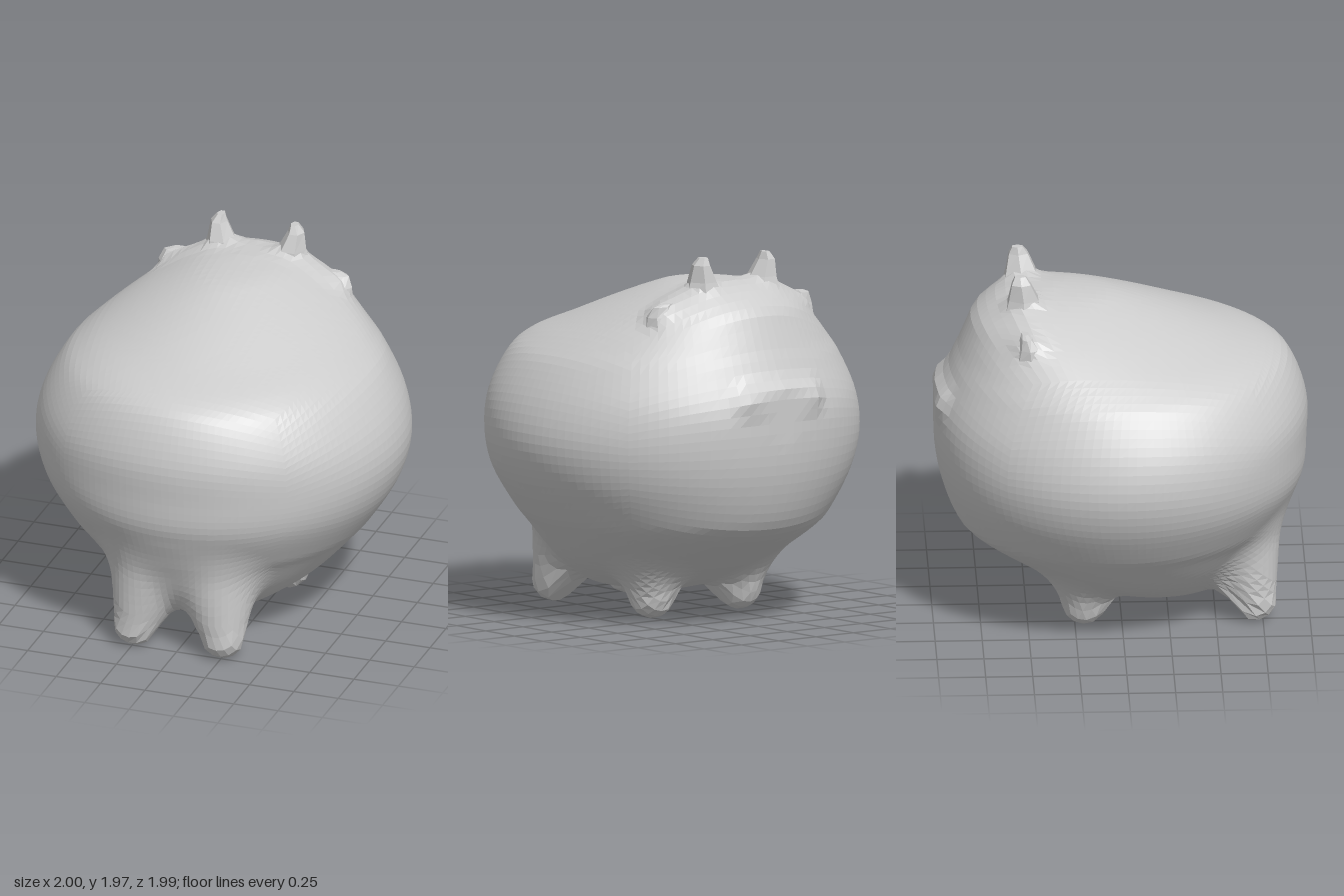
import * as THREE from 'three';
import { mergeVertices } from 'three/addons/utils/BufferGeometryUtils.js';

const material = new THREE.MeshStandardMaterial({ color: 0xcccccc, flatShading: true });

// Trunk cross-sections: [y, widest z, half width, front z, back z]
const trunk = [
  [0.12, 0.22, 0.1, 0.45, 0.02],
  [0.16, 0.2, 0.3, 0.54, -0.15],
  [0.25, 0.1, 0.48, 0.62, -0.38],
  [0.35, 0.04, 0.61, 0.7, -0.57],
  [0.5, 0, 0.75, 0.8, -0.81],
  [0.6, 0, 0.83, 0.87, -0.89],
  [0.8, 0, 0.95, 0.97, -0.96],
  [1.0, 0, 1.0, 0.99, -0.99],
  [1.2, 0, 0.965, 0.99, -0.985],
  [1.4, -0.04, 0.86, 0.92, -0.91],
  [1.5, -0.12, 0.76, 0.82, -0.865],
  [1.6, -0.25, 0.63, 0.56, -0.825],
  [1.7, -0.38, 0.48, 0.3, -0.78],
  [1.78, -0.44, 0.33, 0.07, -0.69],
  [1.82, -0.46, 0.22, -0.08, -0.62],
  [1.845, -0.48, 0.09, -0.34, -0.55],
];
const spline = (a, b, c) => new THREE.CatmullRomCurve3(
  trunk.map(r => new THREE.Vector3(r[a], r[b], r[c])), false, 'catmullrom', 0.5).getPoints(200);
const spine = spline(0, 1, 2), reach = spline(0, 3, 4);

function insideTrunk(p) {
  const i = spine.findIndex(q => q.x > p.y);
  if (i < 1) return false;
  const t = (p.y - spine[i - 1].x) / (spine[i].x - spine[i - 1].x);
  const c = spine[i - 1].clone().lerp(spine[i], t), e = reach[i - 1].clone().lerp(reach[i], t);
  const dz = p.z - c.y, depth = dz > 0 ? e.y - c.y : c.y - e.z;
  return (p.x / c.z) ** 2 + (dz / depth) ** 2 < 1;
}

// Tapered swellings, mirrored across x: tip and root centres with radii;
// join is how far the two sides melt into each other
const swellings = [
  // front leg
  { tip: [0.245, 0.125, 0.705], r0: 0.12, root: [0.14, 0.62, 0.56], r1: 0.31, join: 0.16 },
  // hind leg
  { tip: [0.29, 0.14, -0.2], r0: 0.122, root: [0.29, 0.46, -0.2], r1: 0.24, join: 0.12 },
  // muzzle lip
  { tip: [0.2, 1.25, -0.93], r0: 0.045, root: [0, 1.255, -0.945], r1: 0.045, join: 0.01 },
  // horn base
  { tip: [0.2, 1.82, -0.52], r0: 0.06, root: [0.2, 1.74, -0.51], r1: 0.1, join: 0.01 },
  // ear base
  { tip: [0.45, 1.68, -0.49], r0: 0.05, root: [0.34, 1.68, -0.49], r1: 0.08, join: 0.01 },
].map(s => {
  const tip = new THREE.Vector3(...s.tip);
  return { ...s, tip, axis: new THREE.Vector3(...s.root).sub(tip) };
});

function swellingDistance(s, p, side) {
  const q = new THREE.Vector3(p.x * side, p.y, p.z).sub(s.tip);
  const t = THREE.MathUtils.clamp(q.dot(s.axis) / s.axis.lengthSq(), 0, 1);
  return q.addScaledVector(s.axis, -t).length() - THREE.MathUtils.lerp(s.r0, s.r1, t);
}

function smoothMin(a, b, k) {
  const h = Math.max(k - Math.abs(a - b), 0) / k;
  return Math.min(a, b) - h * h * k / 4;
}

// One skin: a rounded cube whose points settle on the blended trunk and swellings
function createBody() {
  const geometry = new THREE.BoxGeometry(2, 2, 2, 32, 32, 32);
  geometry.deleteAttribute('normal');
  geometry.deleteAttribute('uv');
  const skin = mergeVertices(geometry), pos = skin.attributes.position;
  const centre = new THREE.Vector3(0, 0.9, 0.15), dir = new THREE.Vector3(), p = new THREE.Vector3();
  const even = v => Math.tan(v * Math.PI / 4);
  for (let i = 0; i < pos.count; i++) {
    dir.set(even(pos.getX(i)), even(pos.getY(i)), even(pos.getZ(i))).normalize();
    const at = t => p.copy(centre).addScaledVector(dir, t);
    let near = 0, far = 1.6;
    for (let n = 0; n < 18; n++) {
      const mid = (near + far) / 2;
      if (insideTrunk(at(mid))) near = mid; else far = mid;
    }
    let t = 1.6;
    for (let n = 0; n < 60; n++) {
      at(t);
      let d = t - near;
      for (const s of swellings) {
        const pair = smoothMin(swellingDistance(s, p, 1), swellingDistance(s, p, -1), s.join);
        d = smoothMin(d, pair, 0.1);
      }
      t -= d * 0.5;
    }
    at(t);
    pos.setXYZ(i, p.x, p.y, Math.max(p.z, -0.99));
  }
  skin.computeVertexNormals();
  const mesh = new THREE.Mesh(skin, material);
  mesh.name = 'bodyAndLegs';
  return mesh;
}

// Small spike from rings [centre x, y, half width, front z, back z], closed on top
function createSpike(name, rings, sides) {
  const positions = [], index = [];
  for (const [x, y, w, zf, zb] of rings) {
    for (let j = 0; j < sides; j++) {
      const a = (j / sides) * Math.PI * 2;
      positions.push(x + Math.cos(a) * w, y, (zf + zb) / 2 + Math.sin(a) * (zf - zb) / 2);
    }
  }
  const top = (rings.length - 1) * sides;
  for (let j = 0; j < sides; j++) {
    const k = (j + 1) % sides;
    for (let s = 0; s < top; s += sides) {
      index.push(s + j, s + j + sides, s + k, s + k, s + j + sides, s + k + sides);
    }
    if (j > 0 && j < sides - 1) index.push(top, top + k, top + j);
  }
  const geometry = new THREE.BufferGeometry();
  geometry.setAttribute('position', new THREE.Float32BufferAttribute(positions, 3));
  geometry.setIndex(index);
  geometry.computeVertexNormals();
  const mesh = new THREE.Mesh(geometry, material);
  mesh.name = name;
  return mesh;
}

export function createModel() {
  const model = new THREE.Group();
  model.name = 'roundAnimal';
  model.add(createBody());

  for (const [side, s] of [['left', 1], ['right', -1]]) {
    // upright horns on the forehead
    model.add(createSpike(side + 'Horn', [
      [s * 0.19, 1.78, 0.11, -0.41, -0.63],
      [s * 0.2, 1.85, 0.078, -0.43, -0.61],
      [s * 0.217, 1.94, 0.046, -0.475, -0.59],
      [s * 0.207, 1.98, 0.022, -0.505, -0.57],
    ], 6));

    // low ears forming a short ridge that points outward
    model.add(createSpike(side + 'Ear', [
      [s * 0.45, 1.62, 0.1, -0.4, -0.58],
      [s * 0.455, 1.68, 0.09, -0.43, -0.56],
      [s * 0.45, 1.735, 0.07, -0.48, -0.545],
      [s * 0.43, 1.75, 0.045, -0.5, -0.54],
    ], 8));
  }
  return model;
}
